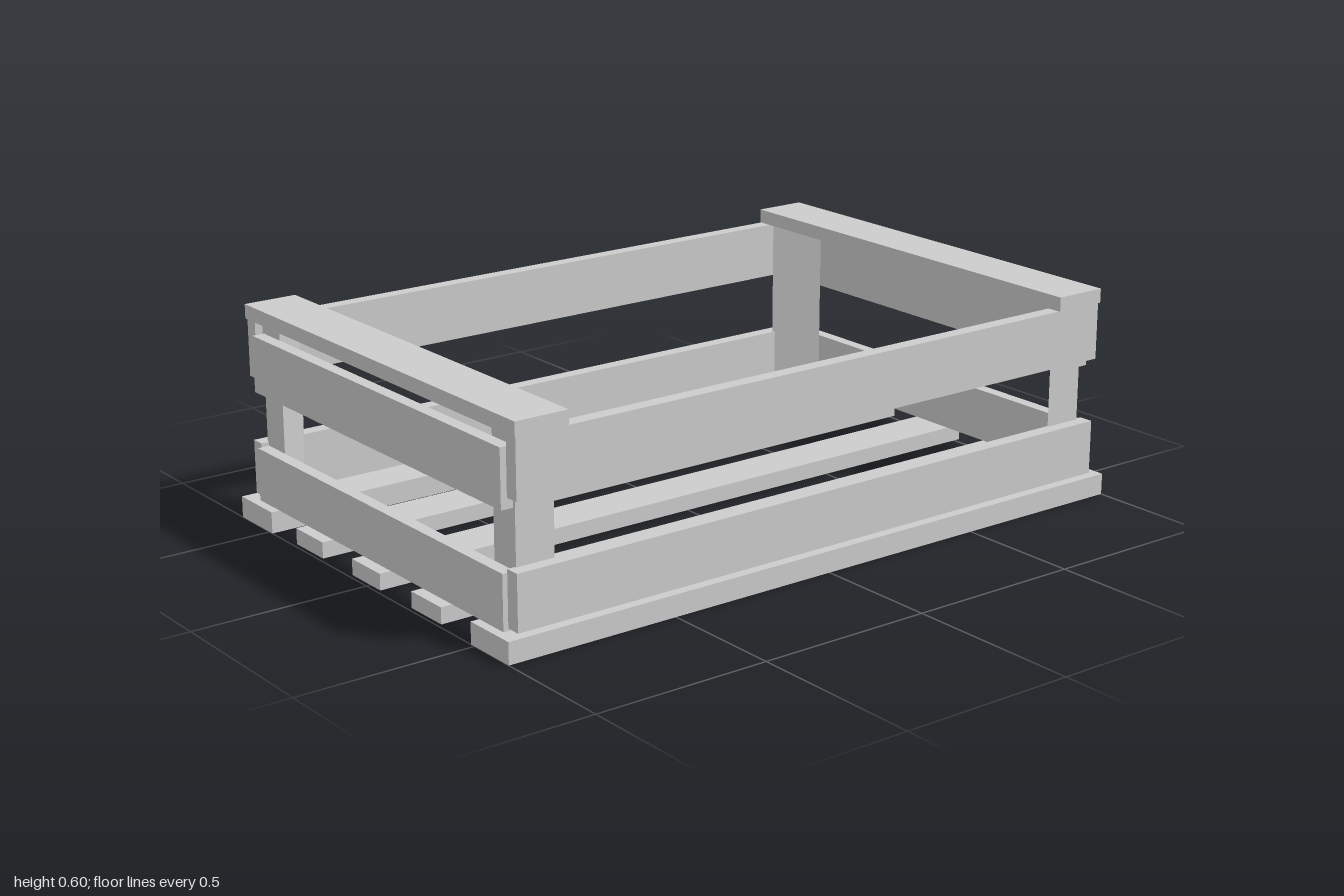
import * as THREE from 'three';

export function createModel() {
  const crate = new THREE.Group();
  crate.name = 'crate';
  const material = new THREE.MeshStandardMaterial({ color: 0xcccccc, flatShading: true });

  function add(name, geometry) {
    const mesh = new THREE.Mesh(geometry, material);
    mesh.name = name;
    crate.add(mesh);
    return mesh;
  }
  // Board given by its lower and upper corner
  function board(name, x0, x1, y0, y1, z0, z1) {
    add(name, new THREE.BoxGeometry(x1 - x0, y1 - y0, z1 - z0))
      .position.set((x0 + x1) / 2, (y0 + y1) / 2, (z0 + z1) / 2);
  }
  // Board mirrored to the other side in x
  function sideBoards(name, x0, x1, y0, y1, z) {
    board(name + 'Left', x0, x1, y0, y1, -z, z);
    board(name + 'Right', -x1, -x0, y0, y1, -z, z);
  }
  // Board mirrored to the other end in z
  function endBoards(name, x, y0, y1, z0, z1) {
    board(name + 'Front', -x, x, y0, y1, z0, z1);
    board(name + 'Back', -x, x, y0, y1, -z1, -z0);
  }

  // Floor: two thick outer runners and three thinner slats
  sideBoards('floorRunner', 0.485, 0.648, 0, 0.06, 1);
  for (const x of [-0.285, 0, 0.285]) board('floorSlat', x - 0.068, x + 0.068, 0.009, 0.054, -1, 1);

  // Long side boards
  sideBoards('lowerSideBoard', 0.592, 0.633, 0.067, 0.219, 0.962);
  sideBoards('upperSideBoard', 0.597, 0.637, 0.4, 0.56, 0.962);

  // Short end boards and the flat caps over them
  endBoards('lowerEndBoard', 0.59, 0.06, 0.209, 0.94, 0.975);
  endBoards('upperEndBoard', 0.59, 0.368, 0.525, 0.94, 0.975);
  endBoards('endCap', 0.641, 0.56, 0.6, 0.812, 0.966);

  // Triangular corner posts, their slanted faces turned inward
  for (const sx of [-1, 1]) {
    for (const sz of [-1, 1]) {
      const triangle = new THREE.Shape([
        new THREE.Vector2(sx * 0.597, -sz * 0.94),
        new THREE.Vector2(sx * 0.505, -sz * 0.94),
        new THREE.Vector2(sx * 0.597, -sz * 0.828),
      ]);
      const post = new THREE.ExtrudeGeometry(triangle, { depth: 0.5, bevelEnabled: false });
      post.rotateX(-Math.PI / 2);
      add('cornerPost', post).position.y = 0.06;
    }
  }

  return crate;
}
